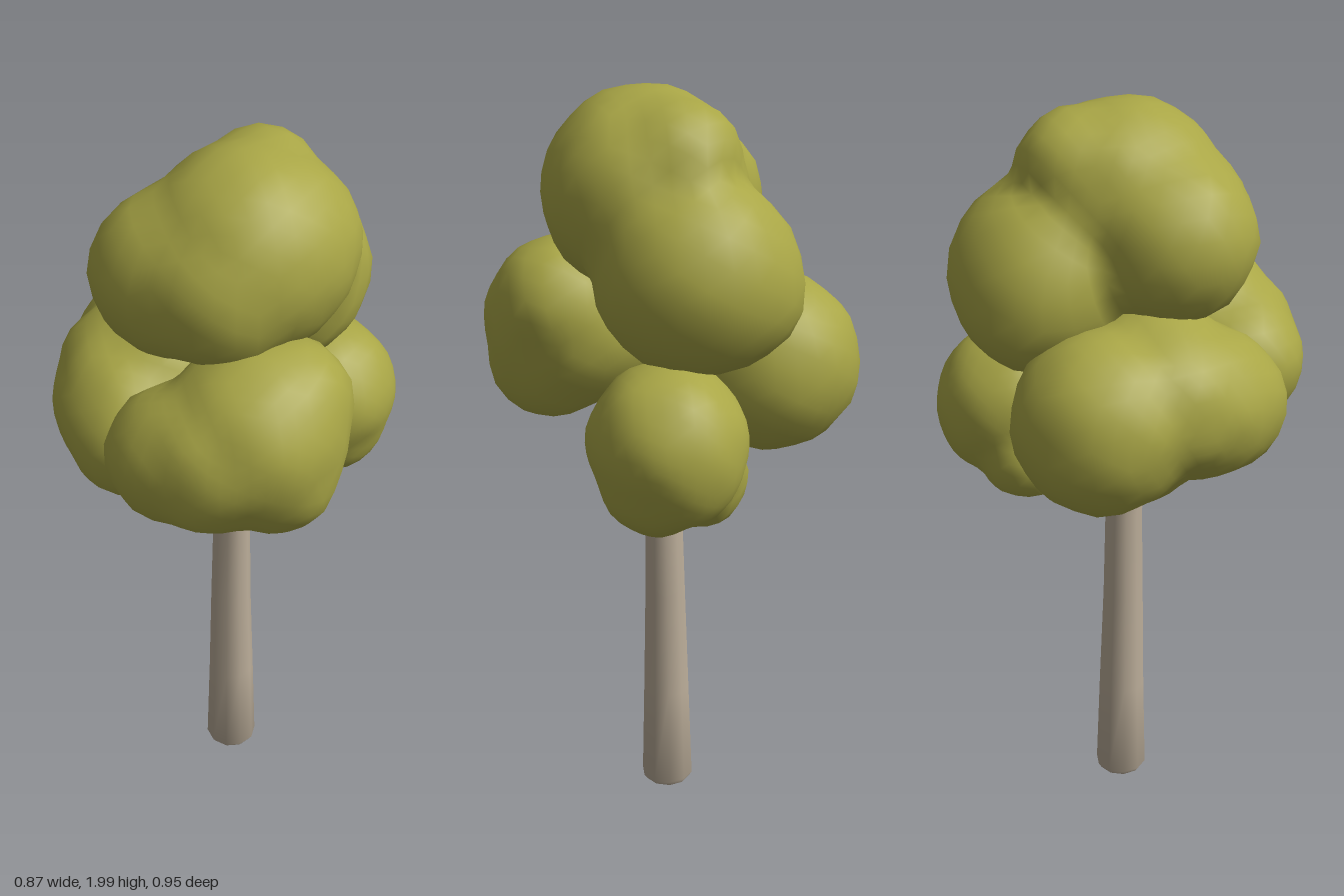
import * as THREE from 'three';
import { mergeVertices, toCreasedNormals } from 'three/addons/utils/BufferGeometryUtils.js';

const bark = new THREE.MeshStandardMaterial({ name: 'bark', color: 0xbcae9a });
const foliage = new THREE.MeshStandardMaterial({ name: 'foliage', color: 0xa9a646 });

// Tapered limb through a list of [x, y, z, radius] rings
function limb(name, rings, sides) {
  const n = rings.length - 1;
  const pts = rings.map(([x, y, z]) => new THREE.Vector3(x, y, z));
  const turns = pts.map((p, i) => {
    const dir = pts[Math.min(i + 1, n)].clone().sub(pts[Math.max(i - 1, 0)]).normalize();
    return new THREE.Quaternion().setFromUnitVectors(new THREE.Vector3(0, 1, 0), dir);
  });
  const geo = new THREE.CylinderGeometry(1, 1, 1, sides, n);
  const pos = geo.attributes.position;
  const v = new THREE.Vector3();
  for (let i = 0; i < pos.count; i++) {
    v.fromBufferAttribute(pos, i);
    const k = Math.round((v.y + 0.5) * n);
    v.y = 0;
    v.multiplyScalar(rings[k][3]).applyQuaternion(turns[k]).add(pts[k]);
    pos.setXYZ(i, v.x, v.y, v.z);
  }
  const mesh = new THREE.Mesh(toCreasedNormals(geo, 0.9), bark);
  mesh.name = name;
  return mesh;
}

// Softly blended distance to a set of spheres [x, y, z, radius]
function blobDistance(p, lobes) {
  const k = 0.02;
  let d = 10;
  for (const [x, y, z, r] of lobes) {
    const e = Math.hypot(p.x - x, p.y - y, p.z - z) - r;
    const h = Math.max(k - Math.abs(d - e), 0) / k;
    d = Math.min(d, e) - h * h * k * 0.25;
  }
  return d + 0.006 * Math.sin(p.x * 27 + 1) * Math.sin(p.y * 25) * Math.sin(p.z * 26 + 2);
}

// Leaf clump: a ball whose vertices are moved onto the blended spheres
function clump(name, centre, lobes) {
  let geo = new THREE.IcosahedronGeometry(1, 6);
  geo.deleteAttribute('uv');
  geo.deleteAttribute('normal');
  geo = mergeVertices(geo, 1e-4);
  const pos = geo.attributes.position;
  const c = new THREE.Vector3(...centre);
  const dir = new THREE.Vector3();
  const p = new THREE.Vector3();
  for (let i = 0; i < pos.count; i++) {
    dir.fromBufferAttribute(pos, i).normalize();
    let t = 0.6;
    for (let s = 0; s < 60; s++) {
      p.copy(c).addScaledVector(dir, t);
      t -= blobDistance(p, lobes) * 0.8;
    }
    p.copy(c).addScaledVector(dir, t);
    pos.setXYZ(i, p.x, p.y, p.z);
  }
  geo.computeVertexNormals();
  const mesh = new THREE.Mesh(geo, foliage);
  mesh.name = name;
  return mesh;
}

export function createModel() {
  const tree = new THREE.Group();
  tree.name = 'tree';

  // Trunk and branches
  tree.add(
    limb('trunk', [
      [0.035, 0.008, -0.04, 0.063], [0.035, 0.022, -0.04, 0.072], [0.035, 0.3, -0.036, 0.064],
      [0.034, 0.6, -0.03, 0.056], [0.036, 0.86, -0.026, 0.051], [0.034, 1.02, -0.014, 0.048],
      [0.034, 1.14, -0.008, 0.041], [0.038, 1.32, 0, 0.033], [0.045, 1.55, 0, 0.02],
    ], 10),
    limb('rightBackBranch', [
      [0.038, 0.85, -0.035, 0.036], [0.055, 0.93, -0.1, 0.029], [0.1, 1.02, -0.19, 0.02],
    ], 8),
    limb('frontBranch', [
      [0.034, 1, 0, 0.034], [0.04, 1.08, 0.07, 0.026], [0.06, 1.18, 0.16, 0.018],
    ], 8),
    limb('leftBranch', [
      [0.03, 1.02, -0.02, 0.03], [-0.01, 1.11, -0.04, 0.025], [-0.08, 1.2, -0.08, 0.018],
    ], 8),
    limb('backBranch', [
      [0.036, 1.04, -0.02, 0.028], [0.042, 1.1, -0.055, 0.022], [0.1, 1.16, -0.14, 0.014],
    ], 8),
  );

  // Foliage
  tree.add(
    clump('crownLeaves', [0.06, 1.68, -0.05], [
      [0.075, 1.737, 0, 0.263], [0.125, 1.74, -0.03, 0.23], [-0.09, 1.68, 0.05, 0.217],
      [0.03, 1.69, 0.105, 0.205], [0.08, 1.83, -0.13, 0.16], [0.1, 1.57, -0.21, 0.255],
      [0.045, 1.54, -0.26, 0.205],
    ]),
    clump('leftLeaves', [-0.2, 1.27, -0.05], [
      [-0.195, 1.27, -0.19, 0.238], [-0.215, 1.28, 0.07, 0.2], [-0.19, 1.25, 0.14, 0.178],
      [-0.15, 1.33, -0.02, 0.207], [-0.235, 1.31, -0.02, 0.195], [-0.16, 1.2, -0.1, 0.183],
    ]),
    clump('frontLeaves', [0.08, 1.33, 0.25], [
      [0.145, 1.355, 0.225, 0.23], [-0.045, 1.29, 0.27, 0.177], [0.05, 1.31, 0.275, 0.202],
      [0.215, 1.425, 0.19, 0.168], [0.2, 1.26, 0.24, 0.165],
    ]),
    clump('rightBackLeaves', [0.22, 1.13, -0.27], [
      [0.235, 1.175, -0.262, 0.202], [0.14, 1.055, -0.265, 0.13], [0.265, 1.08, -0.255, 0.145],
      [0.24, 1.13, -0.305, 0.16],
    ]),
  );
  return tree;
}
